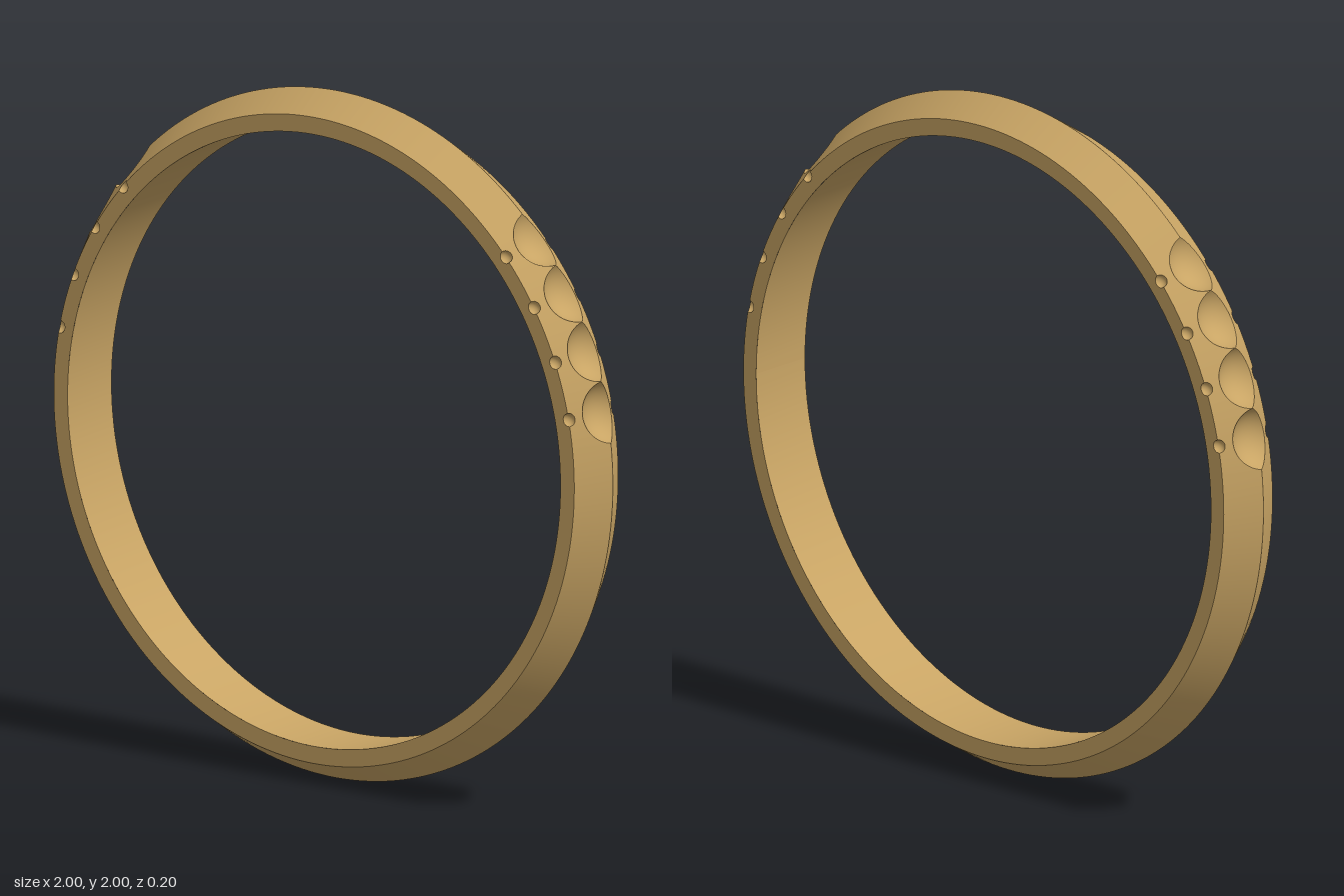
import * as THREE from 'three';

const RAD = Math.PI / 180;
const EDGE = 0.94, BORE = 0.89, HALF = 0.1, SLOPE = 0.6; // band section: ridge at radius 1
const SPACING = 10.2 * RAD, FIRST = 12 * RAD;
const SEAT_C = 1.037; // radius on which the spherical seat cutters are centred
const SEAT_R = Math.sqrt(1 + SEAT_C ** 2 - 2 * SEAT_C * Math.cos(SPACING / 2));
const NOTCH_A = SPACING * 7 / 60;
const NOTCH_R = EDGE * Math.sin(NOTCH_A);

// Angles of the four stone seats on each shoulder
const seats = [];
for (let i = 0; i < 4; i++) {
  seats.push(FIRST + i * SPACING, Math.PI - FIRST - i * SPACING);
}

const range = (a, b, n) => Array.from({ length: n + 1 }, (_, i) => a + (b - a) * i / n);

// Angle to the closest seat
function offset(t) {
  let best = 9;
  for (const s of seats) {
    const d = Math.atan2(Math.sin(t - s), Math.cos(t - s));
    if (Math.abs(d) < Math.abs(best)) best = d;
  }
  return best;
}

// Section circle of a seat: centre radius, circle radius, half width on the slope
function seatSection(d) {
  const c = SEAT_C * Math.cos(d);
  const q = Math.sqrt(Math.max(0, SEAT_R ** 2 - (SEAT_C * Math.sin(d)) ** 2));
  const h = c - 1, a = 1 + SLOPE ** 2;
  const disc = (SLOPE * h) ** 2 - a * (h * h - q * q);
  const z = Math.abs(d) < SPACING / 2 && disc > 0 ? Math.max(0, (Math.sqrt(disc) - SLOPE * h) / a) : 0;
  return { c, q, z };
}

const notchRadius = d => Math.abs(d) < NOTCH_A
  ? Math.sqrt(Math.max(0, NOTCH_R ** 2 - (EDGE * Math.sin(d)) ** 2)) : 0;

// Sweeps a varying list of [radius, z] points around the axis
function sweep(angles, section) {
  const pos = [], idx = [];
  let n = 0;
  for (const t of angles) {
    const pts = section(t);
    n = pts.length;
    for (const [r, z] of pts) pos.push(r * Math.cos(t), 1 + r * Math.sin(t), z);
  }
  for (let i = 0; i < angles.length - 1; i++) {
    for (let j = 0; j < n - 1; j++) {
      const a = i * n + j, b = a + n;
      idx.push(a, b, a + 1, b, b + 1, a + 1);
    }
  }
  const g = new THREE.BufferGeometry();
  g.setAttribute('position', new THREE.Float32BufferAttribute(pos, 3));
  g.setIndex(idx);
  g.computeVertexNormals();
  return g;
}

// Mirrors a front-half section to the back, keeping faces outward
const side = (s, pts) => s > 0 ? pts : pts.map(([r, z]) => [r, -z]).reverse();

export function createModel() {
  const group = new THREE.Group();
  const gold = new THREE.MeshStandardMaterial({ color: 0xc8a464 });
  const add = (name, geometry) => {
    const mesh = new THREE.Mesh(geometry, gold);
    mesh.name = name;
    group.add(mesh);
  };

  // Fine steps through the seats, coarser elsewhere
  const start = FIRST - SPACING / 2, end = start + 4 * SPACING;
  const around = [
    ...range(start, end, 240),
    ...range(end, Math.PI - end, 48).slice(1),
    ...range(Math.PI - end, Math.PI - start, 240).slice(1),
    ...range(Math.PI - start, 2 * Math.PI + start, 110).slice(1),
  ];
  const slopeLen = Math.hypot(1, SLOPE);
  const slopeAngle = Math.atan2(-1, SLOPE);

  // Inner face
  add('bore', sweep(range(0, 2 * Math.PI, 180), () => [[BORE, HALF], [BORE, -HALF]]));

  for (const s of [1, -1]) {
    const label = s > 0 ? 'front' : 'back';
    // Sloped outer face, trimmed by the seats and notches
    add(label + 'Slope', sweep(around, t => {
      const d = offset(t);
      const z0 = seatSection(d).z, z1 = HALF - notchRadius(d) / slopeLen;
      return side(s, [[1 - SLOPE * z0, z0], [1 - SLOPE * z1, z1]]);
    }));
    // Flat side face
    add(label + 'Side', sweep(around, t =>
      side(s, [[EDGE - notchRadius(offset(t)), HALF], [BORE, HALF]])));
    // Small round notches in the rim beside each seat
    for (const a of seats) {
      add(label + 'Notch', sweep(range(a - NOTCH_A, a + NOTCH_A, 14), t => {
        const p = notchRadius(t - a);
        return side(s, range(slopeAngle, -Math.PI, 8).map(f =>
          [EDGE + p * Math.cos(f), HALF + p * Math.sin(f)]));
      }));
    }
  }

  // Scooped stone seats across the ridge
  for (const a of seats) {
    add('stoneSeat', sweep(range(a - SPACING / 2, a + SPACING / 2, 60), t => {
      const { c, q, z } = seatSection(t - a);
      if (z === 0) return range(0, 0, 20).map(() => [1, 0]);
      const f = Math.atan2(z, c - 1 + SLOPE * z);
      return range(-f, f, 20).map(v => [c - q * Math.cos(v), q * Math.sin(v)]);
    }));
  }
  return group;
}
